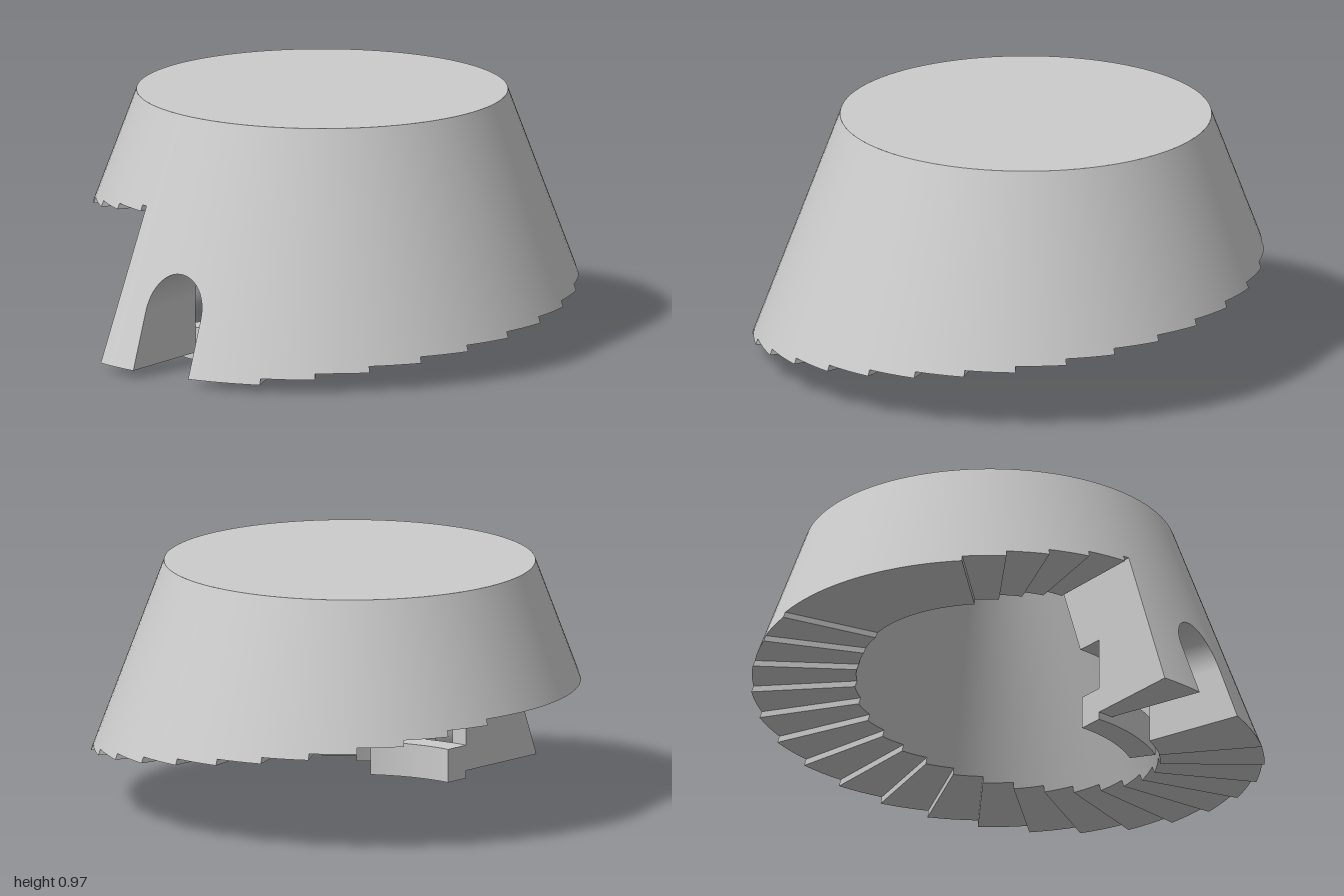
import * as THREE from 'three';
import { mergeGeometries } from 'three/addons/utils/BufferGeometryUtils.js';
import { ParametricGeometry } from 'three/addons/geometries/ParametricGeometry.js';

const TOP = 0.967, R_TOP = 0.713, WALL = 0.4;
const BASE = 0.03, RISE = 0.0235, TREAD = 11.5;
const START = -17.1, FIRST_END = 23;          // angles in degrees, 0 = front, + toward +x
const DOOR = 0.13, SPRING = 0.25, ARCH = 0.152; // half width, arch start and arch rise
const SILL_IN = 0.56, SILL = 0.13, LINTEL = 0.335;
const rad = THREE.MathUtils.degToRad;
const lerp = THREE.MathUtils.lerp;
const coneR = (y) => R_TOP + (TOP - y) * 0.373;
const innerR = (y) => coneR(y) - WALL;
const R_MID = innerR(BASE);
const depth = (r, x) => Math.sqrt(Math.max(r * r - x * x, 0));

const material = new THREE.MeshStandardMaterial({ color: 0xcccccc, side: THREE.DoubleSide });

export function createModel() {
  const model = new THREE.Group();
  model.name = 'spiralStairTower';
  model.position.set(-0.063, 0, -0.06);
  const add = (name, geometry) => {
    const mesh = new THREE.Mesh(geometry, material);
    mesh.name = name;
    model.add(mesh);
    return mesh;
  };

  // Revolve a profile between two angles, every profile edge kept sharp
  const sector = (a0, a1, profile) => {
    const segs = Math.max(2, Math.ceil((a1 - a0) / 2.9));
    const faces = [];
    for (let i = 0; i < profile.length - 1; i++) {
      const pts = [profile[i], profile[i + 1]].map(([r, y]) => new THREE.Vector2(r, y));
      faces.push(new THREE.LatheGeometry(pts, segs, rad(a0), rad(a1 - a0)));
    }
    return mergeGeometries(faces);
  };

  // Flat upright face in the radial plane at an angle
  const radialFace = (name, angle, outline) => {
    const shape = new THREE.Shape(outline.map(([r, y]) => new THREE.Vector2(r, y)));
    add(name, new THREE.ShapeGeometry(shape)).rotation.y = rad(angle) - Math.PI / 2;
  };

  const parametric = (name, nu, nv, fn) => add(name, new ParametricGeometry(fn, nu, nv));

  // Stair cut under a tapering wall: a flight, a wide landing, and a short flight
  const bounds = [];
  for (let i = 0; i < 20; i++) bounds.push(FIRST_END + TREAD * i);
  for (let i = 0; i < 5; i++) bounds.push(296.8 + 11.1 * i);
  bounds.push(360 + START);
  for (let i = 0; i < bounds.length - 1; i++) {
    const y = BASE + RISE * (i + 1), below = y - RISE;
    add('wallStep', sector(bounds[i], bounds[i + 1],
      [[innerR(TOP), TOP], [innerR(y), y], [coneR(y), y], [R_TOP, TOP]]));
    radialFace('riser', bounds[i],
      [[innerR(below), below], [coneR(below), below], [coneR(y), y], [innerR(y), y]]);
  }
  const endY = BASE + RISE * (bounds.length - 1);
  radialFace('wallEnd', START, [[R_MID, BASE], [coneR(BASE), BASE], [coneR(endY), endY],
    [innerR(endY), endY], [innerR(LINTEL), LINTEL], [R_MID, LINTEL]]);

  // Flat top
  add('top', new THREE.CircleGeometry(R_TOP, 96).rotateX(-Math.PI / 2)).position.y = TOP;

  // Walls on both sides of the door, between a radial edge and the straight jamb
  for (const [angle, side] of [[START, -1], [FIRST_END, 1]]) {
    const xAt = (r, s) => lerp(r * Math.sin(rad(angle)), side * DOOR, s);
    const panel = (name, rFn, y0, y1) => parametric(name, 8, 12, (u, v, p) => {
      const y = lerp(y0, y1, v), r = rFn(y), x = xAt(r, u);
      p.set(x, y, depth(r, x));
    });
    panel('frontWall', coneR, BASE, TOP);
    panel('frontWallBack', () => R_MID, BASE, LINTEL);
    parametric('frontWallUnderside', 8, 4, (u, v, p) => {
      const r = lerp(R_MID, coneR(BASE), v), x = xAt(r, u);
      p.set(x, BASE, depth(r, x));
    });
  }

  // Wall above the arch
  parametric('wallAboveDoor', 24, 12, (u, v, p) => {
    const a = Math.PI * (1 - u), x = DOOR * Math.cos(a);
    const y = lerp(SPRING + ARCH * Math.sin(a), TOP, v);
    p.set(x, y, depth(coneR(y), x));
  });

  // Arched passage: two jambs and a rounded vault
  const tunnel = (name, n, at) => parametric(name, n, 4, (u, v, p) => {
    const [x, y] = at(u);
    p.set(x, y, lerp(depth(R_MID, x), depth(coneR(y), x), v));
  });
  for (const side of [-1, 1]) {
    tunnel('doorJamb', 6, (u) => [side * DOOR, lerp(BASE, SPRING, u)]);
  }
  tunnel('doorVault', 24, (u) => [DOOR * Math.cos(Math.PI * u), SPRING + ARCH * Math.sin(Math.PI * u)]);

  // Inside the door: curved sill, wide opening and lintel
  const sillBox = [[SILL_IN, 0], [R_MID, 0], [R_MID, SILL], [SILL_IN, SILL]];
  add('doorSill', sector(START, -START, [...sillBox, sillBox[0]]));
  for (const angle of [START, -START]) radialFace('sillEnd', angle, sillBox);
  add('doorLintel', sector(START, -START,
    [[innerR(TOP), TOP], [innerR(LINTEL), LINTEL], [R_MID, LINTEL], [R_MID, SPRING + ARCH]]));
  add('innerWall', sector(-START, FIRST_END, [[innerR(TOP), TOP], [R_MID, BASE]]));
  radialFace('openingSide', -START, [[R_MID, BASE], [R_MID, LINTEL], [innerR(LINTEL), LINTEL]]);

  return model;
}
